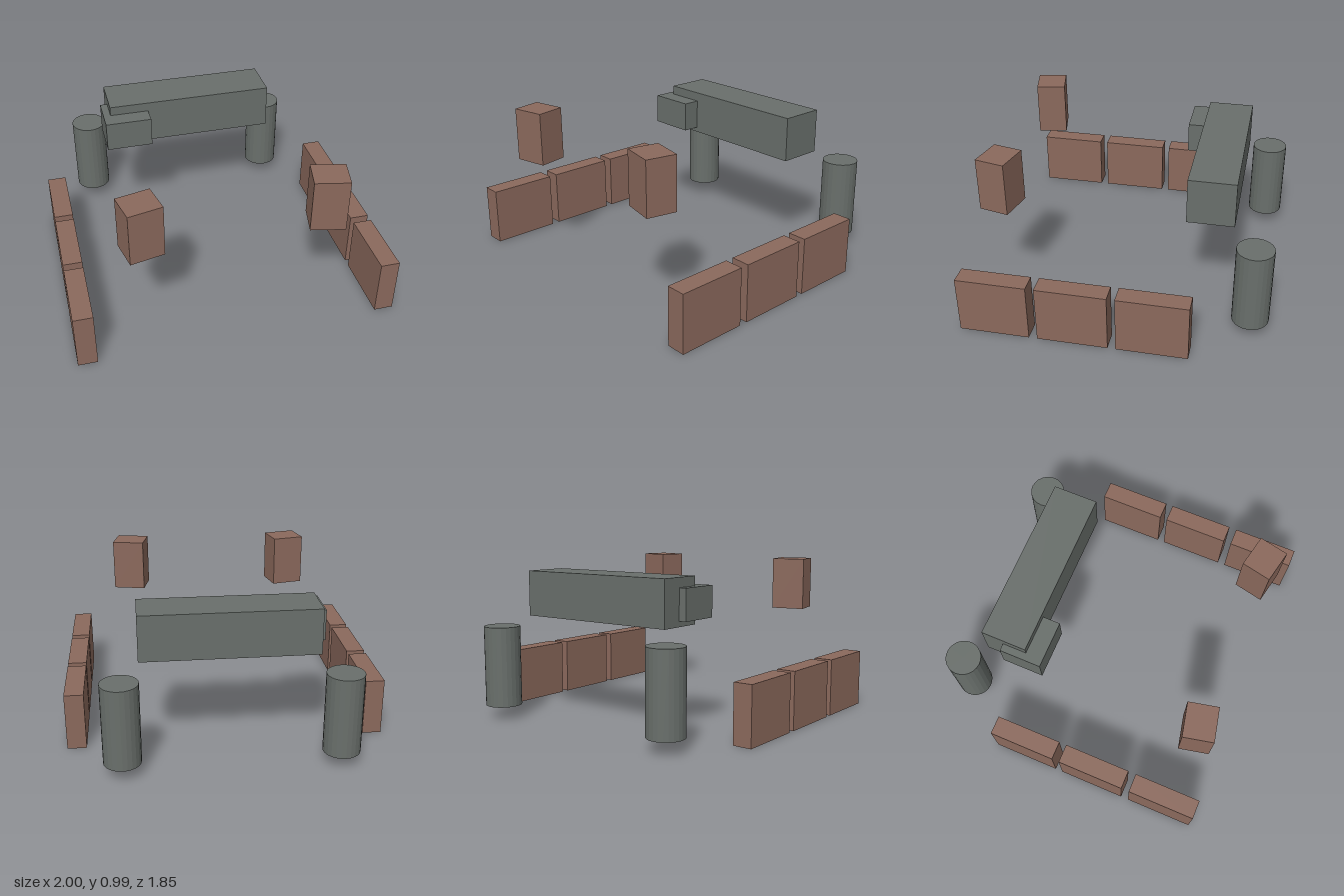
import * as THREE from 'three';

export function createModel() {
  const model = new THREE.Group();
  const brown = new THREE.MeshStandardMaterial({ color: 0x8b695c, flatShading: true });
  const grey = new THREE.MeshStandardMaterial({ color: 0x696f6b, flatShading: true });
  brown.name = 'brown';
  grey.name = 'grey';

  const add = (name, geometry, material, x, y, z, turn = 0) => {
    const mesh = new THREE.Mesh(geometry, material);
    mesh.name = name;
    mesh.position.set(x, y, z);
    mesh.rotation.y = turn;
    model.add(mesh);
  };

  // Floating crossbeam with a smaller block set into its right front corner
  add('crossbeam', new THREE.BoxGeometry(1.085, 0.286, 0.29), grey, 0, 0.794, -0.53);
  add('cornerBlock', new THREE.BoxGeometry(0.3, 0.193, 0.266), grey, -0.439, 0.781, -0.406);

  // Mirrored parts on both sides
  const wall = new THREE.BoxGeometry(0.12, 0.366, 0.436);
  const block = new THREE.BoxGeometry(0.213, 0.337, 0.189);
  const column = new THREE.CylinderGeometry(0.114, 0.114, 0.507, 24);
  for (const [side, s] of [['left', 1], ['right', -1]]) {
    // Row of three low wall segments
    [0.705, 0.218, -0.266].forEach((z, i) =>
      add(`${side}Wall${i + 1}`, wall, brown, s * 0.94, 0.183, z));
    // Raised front block, turned slightly
    add(`${side}FrontBlock`, block, brown, s * 0.558, 0.823, 0.747, -s * 0.215);
    // Rear column
    add(`${side}Column`, column, grey, s * 0.655, 0.336, -0.811);
  }
  return model;
}
